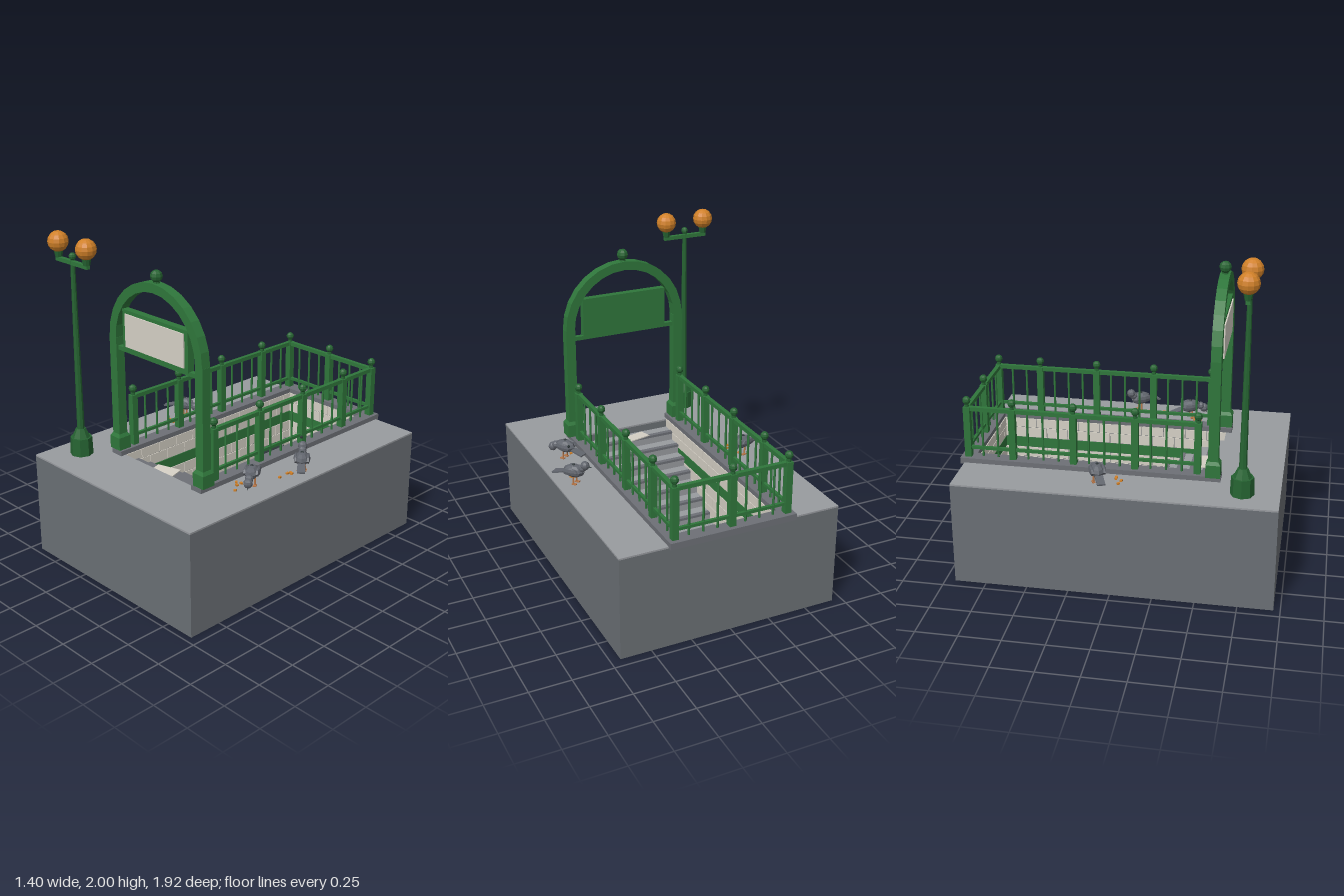
import * as THREE from 'three';

const mat = (name, color, side = THREE.FrontSide) => {
  const m = new THREE.MeshStandardMaterial({ color, side });
  m.name = name;
  m.flatShading = true;
  return m;
};
const M = {
  pavement: mat('pavement grey', 0x989b9f),
  block: mat('block grey', 0x6a6f74),
  curb: mat('curb grey', 0x6d7076),
  green: mat('iron green', 0x2f763b),
  darkGreen: mat('dark green', 0x266432),
  cream: mat('cream', 0xd5d0c5, THREE.DoubleSide),
  orange: mat('lamp orange', 0xd08028),
  slate: mat('bird slate', 0x62666e),
  dark: mat('charcoal', 0x2d3638),
  tan: mat('tan', 0xb87748),
};

export function createModel() {
  const root = new THREE.Group();
  const section = (name, parent = root) => {
    const g = new THREE.Group();
    g.name = name;
    parent.add(g);
    return g;
  };
  const add = (parent, name, geo, m, x = 0, y = 0, z = 0) => {
    const mesh = new THREE.Mesh(geo, m);
    mesh.name = name;
    mesh.position.set(x, y, z);
    parent.add(mesh);
    return mesh;
  };
  // box given by its min and max on each axis
  const box = (p, name, m, x0, x1, y0, y1, z0, z1) =>
    add(p, name, new THREE.BoxGeometry(x1 - x0, y1 - y0, z1 - z0), m, (x0 + x1) / 2, (y0 + y1) / 2, (z0 + z1) / 2);
  const cyl = (p, name, m, rt, rb, y0, y1, x, z, n = 8) =>
    add(p, name, new THREE.CylinderGeometry(rt, rb, y1 - y0, n), m, x, (y0 + y1) / 2, z);
  const ball = (p, name, m, r, x, y, z, w = 8, h = 6) =>
    add(p, name, new THREE.SphereGeometry(r, w, h), m, x, y, z);

  // ground block, hollowed for the stairwell
  const W = 0.69, Z0 = -0.94, Z1 = 0.96, P = 0.31, PB = -0.88, PF = 0.57, G = 0.645, FLOOR = 0.095;
  const ground = section('ground');
  const ring = (m, name, y0, y1) => {
    box(ground, name, m, -W, -P, y0, y1, Z0, Z1);
    box(ground, name, m, P, W, y0, y1, Z0, Z1);
    box(ground, name, m, -P, P, y0, y1, Z0, PB);
    box(ground, name, m, -P, P, y0, y1, PF, Z1);
  };
  box(ground, 'base', M.block, -W, W, 0, FLOOR - 0.01, Z0, Z1);
  ring(M.block, 'earth', FLOOR - 0.01, G - 0.01);
  ring(M.pavement, 'pavement', G - 0.01, G);
  box(ground, 'stationFloor', M.pavement, -P, P, FLOOR - 0.01, FLOOR, PB, PF);

  // curb around three sides
  const curb = section('curb');
  for (const s of [-1, 1]) box(curb, 'sideCurb', M.curb, s * 0.3525 - 0.0425, s * 0.3525 + 0.0425, 0.635, 0.675, PB, 0.605);
  box(curb, 'backCurb', M.curb, -0.395, 0.395, 0.635, 0.675, -0.965, PB);

  // stairs going down toward the back, each with a dark nosing
  const stairs = section('stairs');
  const RUN = 0.0933, RISE = 0.055;
  for (let i = 0; i < 9; i++) {
    const z1 = PF - i * RUN, z0 = z1 - RUN, y = G - (i + 1) * RISE;
    box(stairs, 'step', M.pavement, -P, P, FLOOR, y, z0, z1);
    box(stairs, 'nosing', M.curb, -P, P, y - 0.012, y + 0.004, z0 - 0.003, z0 + 0.026);
  }
  const paper = add(stairs, 'newspaper', new THREE.BoxGeometry(0.16, 0.006, 0.085), M.cream, -0.045, 0.602, 0.485);
  paper.rotation.set(0.06, 0.25, 0);

  // tiled walls with a green band
  const tiles = section('wallTiles');
  const H = 0.07, L = 0.14, gap = 0.004, T = 0.005;
  for (let r = 0; r < 8; r++) {
    const y0 = FLOOR + r * H, y1 = Math.min(y0 + H - gap, G);
    if (r === 5) {
      for (const s of [-1, 1]) box(tiles, 'band', M.green, s * (P - T / 2) - T / 2, s * (P - T / 2) + T / 2, y0, y1, PB, PF);
      box(tiles, 'band', M.green, -P, P, y0, y1, PB, PB + T);
      continue;
    }
    const off = r % 2 ? L / 2 : 0;
    for (let z = PB - off; z < PF; z += L) {
      const a = Math.max(z, PB), b = Math.min(z + L - gap, PF);
      if (b > a) for (const s of [-1, 1]) box(tiles, 'tile', M.cream, s * (P - T / 2) - T / 2, s * (P - T / 2) + T / 2, y0, y1, a, b);
    }
    for (let x = -P - off; x < P; x += L) {
      const a = Math.max(x, -P), b = Math.min(x + L - gap, P);
      if (b > a) box(tiles, 'tile', M.cream, a, b, y0, y1, PB, PB + T);
    }
  }

  // turnstiles with three-armed rotors
  const gates = section('turnstiles');
  [-0.23, 0.003, 0.233].forEach((x, i) => {
    box(gates, 'cabinet', M.dark, x - 0.043, x + 0.043, FLOOR, 0.34, -0.71, -0.52);
    if (i === 2) return;
    const rotor = section('rotor', gates);
    rotor.position.set(x + 0.07, 0.28, -0.6);
    add(rotor, 'hub', new THREE.CylinderGeometry(0.016, 0.016, 0.05, 8), M.curb, -0.012).rotation.z = Math.PI / 2;
    for (let k = 0; k < 3; k++) {
      const arm = section('arm', rotor);
      arm.rotation.x = (k * Math.PI * 2) / 3;
      add(arm, 'bar', new THREE.CylinderGeometry(0.006, 0.006, 0.16, 6), M.curb, 0, 0, 0.08).rotation.x = Math.PI / 2;
    }
  });

  // railing on both sides and the back
  const fence = section('railing');
  const post = (x, z) => {
    box(fence, 'post', M.green, x - 0.02, x + 0.02, 0.675, 0.995, z - 0.02, z + 0.02);
    cyl(fence, 'neck', M.darkGreen, 0.012, 0.014, 0.995, 1.02, x, z);
    ball(fence, 'knob', M.darkGreen, 0.025, x, 1.035, z);
  };
  const picket = (x, z) => cyl(fence, 'picket', M.green, 0.007, 0.007, 0.68, 0.985, x, z, 6);
  const FX = 0.353, posts = [0.465, 0.095, -0.275, -0.645, -0.92];
  for (const s of [-1, 1]) {
    posts.forEach((z, i) => {
      post(s * FX, z);
      if (i < 4) for (let k = 1; k <= (i < 3 ? 3 : 2); k++) picket(s * FX, z - k * 0.0925);
    });
    box(fence, 'topRail', M.green, s * FX - 0.013, s * FX + 0.013, 0.972, 0.997, -0.92, 0.465);
    box(fence, 'lowerRail', M.green, s * FX - 0.009, s * FX + 0.009, 0.724, 0.742, -0.92, 0.465);
    for (let k = 1; k <= 3; k++) picket(s * k * 0.088, -0.92);
  }
  post(0, -0.92);
  box(fence, 'topRail', M.green, -FX, FX, 0.972, 0.997, -0.933, -0.907);
  box(fence, 'lowerRail', M.green, -FX, FX, 0.724, 0.742, -0.929, -0.911);

  // entrance arch with sign
  const arch = section('entranceArch');
  const AZ = 0.56, AY = 1.39;
  for (const s of [-1, 1]) {
    const x = s * 0.368;
    box(arch, 'archFoot', M.green, x - 0.043, x + 0.043, 0.675, 0.755, AZ - 0.043, AZ + 0.043);
    add(arch, 'footTaper', new THREE.CylinderGeometry(0.043, 0.06, 0.02, 4).rotateY(Math.PI / 4), M.green, x, 0.765, AZ);
    box(arch, 'archPost', M.green, x - 0.03, x + 0.03, 0.77, AY, AZ - 0.03, AZ + 0.03);
  }
  const bow = new THREE.Shape();
  const N = 14;
  for (let i = 0; i <= N; i++) {
    const a = (i / N) * Math.PI;
    bow[i ? 'lineTo' : 'moveTo'](0.397 * Math.cos(a), 0.4 * Math.sin(a));
  }
  for (let i = N; i >= 0; i--) {
    const a = (i / N) * Math.PI;
    bow.lineTo(0.34 * Math.cos(a), 0.345 * Math.sin(a));
  }
  add(arch, 'archBow', new THREE.ExtrudeGeometry(bow, { depth: 0.06, bevelEnabled: false }), M.green, 0, AY, AZ - 0.03);
  cyl(arch, 'finialNeck', M.darkGreen, 0.016, 0.02, 1.78, 1.81, 0, AZ);
  ball(arch, 'finial', M.darkGreen, 0.036, 0, 1.828, AZ);
  box(arch, 'crossbar', M.green, -0.345, 0.345, 1.315, 1.34, AZ - 0.015, AZ + 0.015);
  box(arch, 'signBoard', M.green, -0.278, 0.278, 1.335, 1.58, AZ - 0.02, AZ + 0.025);
  box(arch, 'signFace', M.cream, -0.25, 0.25, 1.358, 1.558, AZ + 0.025, AZ + 0.033);

  // street lamp with two globes
  const lamp = section('streetLamp');
  const LX = -0.517, LZ = 0.742;
  cyl(lamp, 'lampBase', M.darkGreen, 0.066, 0.07, G, 0.755, LX, LZ);
  cyl(lamp, 'lampShoulder', M.darkGreen, 0.03, 0.055, 0.755, 0.81, LX, LZ);
  cyl(lamp, 'lampPole', M.darkGreen, 0.014, 0.023, 0.81, 1.85, LX, LZ);
  ball(lamp, 'lampFinial', M.darkGreen, 0.022, LX, 1.873, LZ);
  box(lamp, 'lampArm', M.green, LX - 0.145, LX + 0.145, 1.824, 1.848, LZ - 0.013, LZ + 0.013);
  for (const s of [-1, 1]) {
    cyl(lamp, 'globeCup', M.darkGreen, 0.028, 0.02, 1.845, 1.885, LX + s * 0.13, LZ);
    ball(lamp, 'globe', M.orange, 0.062, LX + s * 0.13, 1.938, LZ, 12, 8);
  }

  // birds, built facing +z, and the crumbs around them
  const bird = (x, z, dx, dz, pecking) => {
    const b = section('bird');
    b.position.set(x, G, z);
    b.rotation.y = Math.atan2(dx, dz);
    ball(b, 'body', M.slate, 1, 0, 0.083, 0).scale.set(0.042, 0.04, 0.07);
    for (const s of [-1, 1]) {
      ball(b, 'wing', M.slate, 1, s * 0.036, 0.087, -0.008, 6, 4).scale.set(0.014, 0.026, 0.058);
      cyl(b, 'leg', M.tan, 0.005, 0.005, 0, 0.055, s * 0.02, 0.005, 5);
      box(b, 'foot', M.tan, s * 0.02 - 0.009, s * 0.02 + 0.009, 0, 0.006, -0.005, 0.025);
    }
    add(b, 'tail', new THREE.BoxGeometry(0.048, 0.01, 0.08), M.slate, 0, 0.062, -0.1).rotation.x = -0.25;
    const hy = pecking ? 0.055 : 0.13, hz = pecking ? 0.098 : 0.075;
    ball(b, 'neck', M.slate, 0.025, 0, (hy + 0.09) / 2, hz * 0.75);
    ball(b, 'head', M.slate, 0.028, 0, hy, hz);
    const beak = add(b, 'beak', new THREE.ConeGeometry(0.008, 0.025, 5), M.dark, 0, hy - (pecking ? 0.025 : 0.004), hz + (pecking ? 0.015 : 0.034));
    beak.rotation.x = pecking ? 2.5 : Math.PI / 2;
    ball(b, 'backSpot', M.dark, 0.01, 0, 0.12, 0, 6, 4);
  };
  bird(-0.52, -0.1, 0.09, -0.035, true);
  bird(0.585, -0.025, -0.055, -0.065, false);
  bird(0.51, 0.315, 0.05, 0.08, true);
  ball(root, 'fly', M.dark, 0.009, 0.603, 0.877, 0.005, 6, 4);

  const crumbs = section('crumbs');
  for (const [x, z] of [[-0.52, 0.025], [-0.48, 0.035], [-0.46, 0], [-0.44, 0], [0.56, 0.045], [0.555, 0.065],
    [0.56, 0.135], [0.575, 0.05], [0.43, 0.36], [0.46, 0.385], [0.5, 0.44], [0.46, 0.35]])
    add(crumbs, 'crumb', new THREE.BoxGeometry(0.017, 0.01, 0.014), M.orange, x, G + 0.005, z).rotation.y = x * 20;
  return root;
}
